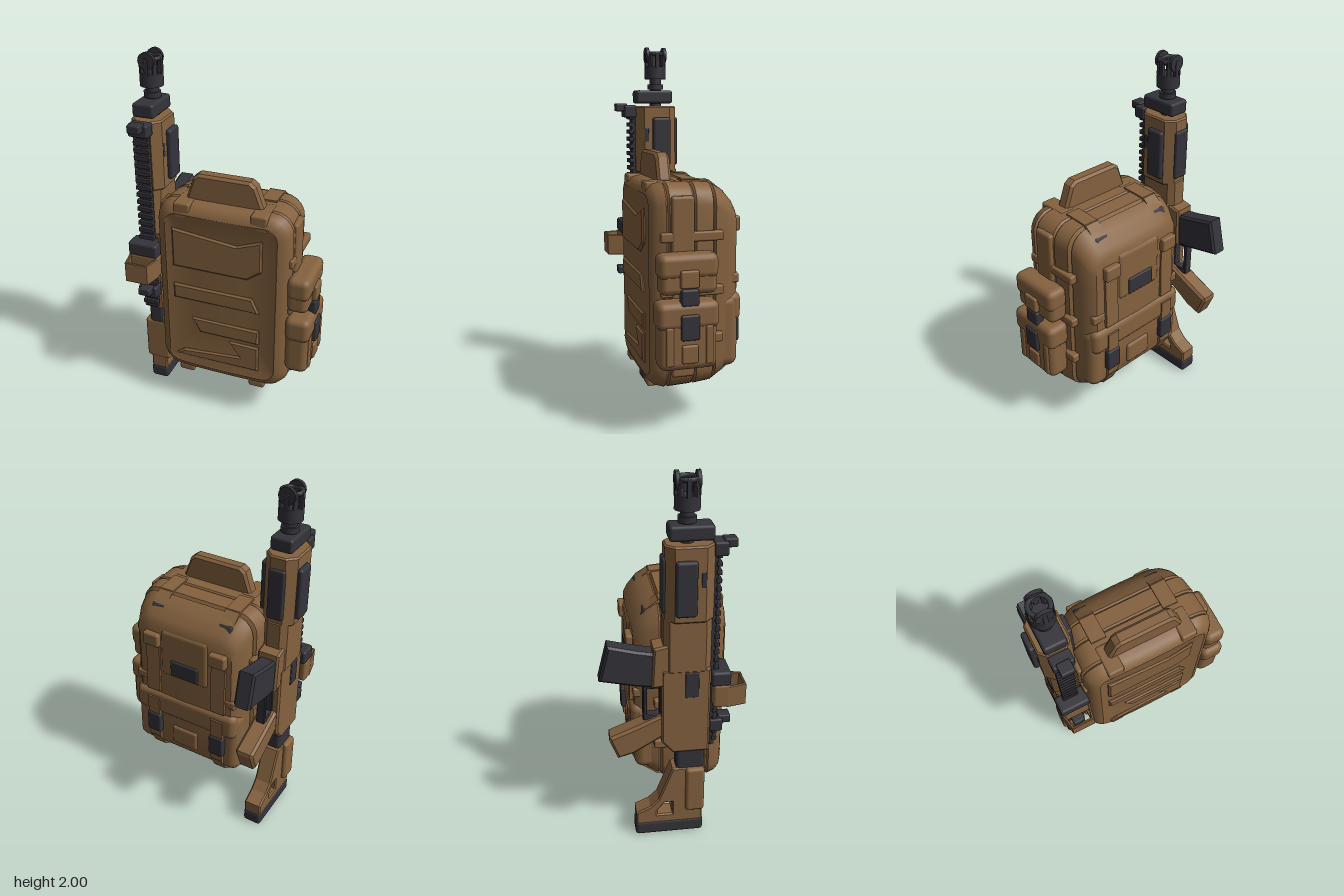
import * as THREE from 'three';
import { toCreasedNormals } from 'three/addons/utils/BufferGeometryUtils.js';
import { RoundedBoxGeometry } from 'three/addons/geometries/RoundedBoxGeometry.js';

const tan = new THREE.MeshStandardMaterial({ color: 0x85623f });
tan.name = 'coyote tan';
const dark = new THREE.MeshStandardMaterial({ color: 0x33333a });
dark.name = 'dark polymer';

function add(parent, name, geo, mat) {
  const m = new THREE.Mesh(geo, mat);
  m.name = name;
  parent.add(m);
  return m;
}

// Rounded box from its limits on each axis
function box(parent, name, mat, x0, x1, y0, y1, z0, z1, r = 0.01) {
  const w = x1 - x0, h = y1 - y0, d = z1 - z0;
  const geo = new RoundedBoxGeometry(w, h, d, 2, Math.min(r, w * 0.45, h * 0.45, d * 0.45));
  const m = add(parent, name, geo, mat);
  m.position.set((x0 + x1) / 2, (y0 + y1) / 2, (z0 + z1) / 2);
  return m;
}

function extrude(points, depth, bevel, hole) {
  const v = (p) => p.map(([a, b]) => new THREE.Vector2(a, b));
  const shape = new THREE.Shape(v(points));
  if (hole) shape.holes.push(new THREE.Path(v(hole)));
  const geo = new THREE.ExtrudeGeometry(shape, {
    depth: depth - 2 * bevel, bevelThickness: bevel, bevelSize: bevel,
    bevelOffset: -bevel, bevelSegments: 1,
  });
  return geo.translate(0, 0, bevel);
}

// Side profile in (z, y), spanning x0..x1
function sideProfile(parent, name, mat, points, x0, x1, bevel = 0.01, hole) {
  const geo = extrude(points, x1 - x0, bevel, hole).rotateY(-Math.PI / 2).translate(x1, 0, 0);
  return add(parent, name, geo, mat);
}

// Chamfered column standing on y0
function column(parent, name, mat, cx, cz, w, d, c, y0, y1) {
  const a = w / 2, b = d / 2;
  const pts = [[a, -b + c], [a, b - c], [a - c, b], [c - a, b], [-a, b - c], [-a, c - b], [c - a, -b], [a - c, -b]];
  const geo = extrude(pts, y1 - y0, 0.008).rotateX(-Math.PI / 2).translate(cx, y0, cz);
  return add(parent, name, geo, mat);
}

// Strap following (z, y) points
function strap(parent, name, mat, cx, width, thick, pts) {
  for (let i = 0; i + 1 < pts.length; i++) {
    const [z0, y0] = pts[i], [z1, y1] = pts[i + 1];
    const geo = new THREE.BoxGeometry(width, thick, Math.hypot(z1 - z0, y1 - y0) + thick * 0.6);
    const m = add(parent, name, geo, mat);
    m.position.set(cx, (y0 + y1) / 2, (z0 + z1) / 2);
    m.rotation.x = -Math.atan2(y1 - y0, z1 - z0);
  }
}

// Rounded-rectangle sections [z, width, height, radius, bulge], from back to front
function loft(layers, cx, cy) {
  const ring = (w, h, r) => {
    const out = [];
    const corners = [[1, -1], [1, 1], [-1, 1], [-1, -1]];
    corners.forEach(([sx, sy], k) => {
      for (let i = 0; i <= 5; i++) {
        const a = (k - 1 + i / 5) * Math.PI / 2;
        out.push([sx * (w / 2 - r) + r * Math.cos(a), sy * (h / 2 - r) + r * Math.sin(a)]);
      }
      const [nx, ny] = corners[(k + 1) % 4];
      const from = out[out.length - 1];
      const to = k % 2 ? [nx * (w / 2 - r), from[1]] : [from[0], ny * (h / 2 - r)];
      for (let i = 1; i < 6; i++) out.push([from[0] + (to[0] - from[0]) * i / 6, from[1] + (to[1] - from[1]) * i / 6]);
    });
    return out;
  };
  const pos = [], idx = [];
  let n = 0;
  for (const [z, w, h, r, bulge] of layers) {
    const pts = ring(w, h, r);
    n = pts.length;
    for (const [x, y] of pts) pos.push(cx + x, cy + y, z + bulge * (1 - (x / 0.37) ** 2));
  }
  for (let i = 0; i + 1 < layers.length; i++) for (let j = 0; j < n; j++) {
    const a = i * n + j, b = i * n + (j + 1) % n;
    idx.push(a, b, b + n, a, b + n, a + n);
  }
  const last = (layers.length - 1) * n, c = pos.length / 3;
  const end = layers[layers.length - 1];
  pos.push(cx, cy, layers[0][0] + layers[0][4], cx, cy, end[0] + end[4]);
  for (let j = 0; j < n; j++) {
    const k = (j + 1) % n;
    idx.push(c, k, j, c + 1, last + j, last + k);
  }
  const geo = new THREE.BufferGeometry();
  geo.setAttribute('position', new THREE.Float32BufferAttribute(pos, 3));
  geo.setIndex(idx);
  return toCreasedNormals(geo, 0.6);
}

function buildPack() {
  const g = new THREE.Group();
  g.name = 'backpack';
  const cx = 0.027;
  // Main shell and rear compartment
  add(g, 'packShell', loft([
    [-0.17, 0.3, 0.5, 0.06, -0.018], [-0.17, 0.58, 0.78, 0.08, -0.018], [-0.15, 0.63, 0.86, 0.1, -0.015],
    [-0.10, 0.67, 0.98, 0.11, -0.01], [-0.05, 0.69, 1.04, 0.11, 0], [-0.04, 0.67, 1.02, 0.1, 0],
    [-0.03, 0.71, 1.055, 0.11, 0], [0.06, 0.735, 1.065, 0.11, 0], [0.07, 0.715, 1.045, 0.1, 0],
    [0.08, 0.735, 1.065, 0.11, 0], [0.2, 0.745, 1.07, 0.11, 0], [0.21, 0.725, 1.05, 0.1, 0],
    [0.22, 0.745, 1.07, 0.11, 0], [0.26, 0.72, 1.05, 0.11, 0.006], [0.285, 0.67, 1.0, 0.09, 0.012],
    [0.293, 0.62, 0.95, 0.07, 0.012], [0.288, 0.6, 0.93, 0.06, 0.014], [0.288, 0.3, 0.5, 0.05, 0.014],
  ], cx, 0.757), tan);

  // Moulded pads on the front panel
  const pads = [
    [[-0.24, 0.92], [0.18, 0.92], [0.26, 0.98], [0.26, 1.16], [0.12, 1.11], [-0.24, 1.15]],
    [[-0.24, 0.72], [0.25, 0.72], [0.21, 0.81], [-0.24, 0.81]],
    [[-0.09, 0.52], [0.25, 0.52], [0.25, 0.61], [-0.14, 0.61]],
    [[-0.24, 0.34], [0.25, 0.34], [0.25, 0.5], [0.08, 0.5], [0.14, 0.41], [-0.19, 0.38]],
  ];
  for (const p of pads) add(g, 'frontPad', extrude(p, 0.03, 0.01).translate(0, 0, 0.282), tan);

  // Carry handle and its anchors
  add(g, 'carryHandle', extrude(
    [[-0.2, 1.26], [0.245, 1.26], [0.19, 1.41], [0.16, 1.432], [-0.12, 1.432], [-0.15, 1.41]], 0.075, 0.014,
    [[-0.15, 1.26], [-0.115, 1.375], [-0.1, 1.388], [0.14, 1.388], [0.155, 1.375], [0.195, 1.26]],
  ).translate(0, 0, 0.145), tan);
  for (const x of [-0.185, 0.235]) {
    box(g, 'handleAnchor', tan, x - 0.045, x + 0.045, 1.205, 1.295, 0.13, 0.298, 0.012);
    box(g, 'foot', tan, x - 0.045, x + 0.045, 0.218, 0.26, 0.1, 0.295, 0.012);
  }

  // Lid straps with buckles, and lower strap buckles
  for (const x of [-0.19, 0.225]) {
    strap(g, 'lidStrap', tan, x, 0.085, 0.018,
      [[0.1, 1.29], [-0.04, 1.283], [-0.1, 1.235], [-0.15, 1.15], [-0.182, 1.03], [-0.19, 0.72]]);
    const buckle = box(g, 'lidBuckle', dark, x - 0.042, x + 0.042, 1.15, 1.24, -0.14, -0.105, 0.01);
    buckle.rotation.x = 0.5;
    box(g, 'strapKeeper', tan, x - 0.05, x + 0.05, 1.02, 1.1, -0.215, -0.15, 0.012);
    strap(g, 'lowerStrap', tan, x, 0.075, 0.018, [[-0.2, 0.66], [-0.192, 0.38], [-0.15, 0.3], [-0.05, 0.228], [0.05, 0.222]]);
    box(g, 'lowerBuckle', dark, x - 0.045, x + 0.045, 0.42, 0.55, -0.215, -0.17);
  }

  // Rear flap, webbing, badge panel and pockets
  box(g, 'rearFlap', tan, -0.13, 0.175, 0.84, 1.14, -0.195, -0.1, 0.03);
  box(g, 'badgePanel', dark, -0.07, 0.105, 0.86, 0.96, -0.205, -0.15);
  box(g, 'rearWebbing', tan, -0.29, 0.345, 0.76, 0.81, -0.185, -0.08);
  box(g, 'rearPocket', tan, -0.31, 0.362, 0.31, 0.7, -0.182, -0.03, 0.05);
  box(g, 'rearRoll', tan, -0.3, 0.352, 0.55, 0.71, -0.2, -0.08, 0.04);
  box(g, 'centrePouch', tan, -0.06, 0.11, 0.37, 0.5, -0.2, -0.12, 0.02);

  // Side webbing
  for (const s of [-1, 1]) {
    const x = cx + s * 0.36;
    box(g, 'sidePanel', tan, x - 0.025, x + 0.025, 0.3, 1.23, 0.075, 0.195, 0.015);
    for (const y of [0.47, 0.72, 1.0]) box(g, 'sideBand', tan, x - 0.022, x + 0.022, y, y + 0.05, -0.08, 0.25);
  }
  return g;
}

function buildPouches() {
  const g = new THREE.Group();
  g.name = 'sidePouches';
  box(g, 'upperPouch', tan, 0.385, 0.5, 0.75, 0.95, -0.02, 0.275, 0.035);
  box(g, 'upperPouchLid', tan, 0.385, 0.508, 0.83, 0.957, -0.024, 0.283, 0.035);
  box(g, 'upperPouchTab', tan, 0.49, 0.525, 0.79, 0.88, 0.085, 0.18);
  box(g, 'upperPouchBuckle', dark, 0.47, 0.522, 0.7, 0.785, 0.085, 0.175);
  box(g, 'lowerPouch', tan, 0.385, 0.515, 0.37, 0.715, -0.015, 0.285, 0.04);
  box(g, 'lowerPouchLid', tan, 0.385, 0.522, 0.58, 0.72, -0.025, 0.295, 0.035);
  box(g, 'lowerPouchBuckle', dark, 0.5, 0.534, 0.53, 0.66, 0.085, 0.18);
  box(g, 'lowerPouchTab', tan, 0.5, 0.528, 0.41, 0.505, 0.09, 0.175);
  for (const z of [0.03, 0.235]) box(g, 'lowerPouchWebbing', tan, 0.5, 0.523, 0.4, 0.6, z - 0.02, z + 0.02);
  return g;
}

function buildRifle() {
  const g = new THREE.Group();
  g.name = 'rifle';
  const X = -0.43, Z = 0.065;
  // Barrel and slotted muzzle
  const rod = (name, r, y0, y1) =>
    add(g, name, new THREE.CylinderGeometry(r, r, y1 - y0, 20), dark).position.set(X, (y0 + y1) / 2, Z);
  rod('barrel', 0.034, 1.6, 1.85);
  rod('muzzleCollar', 0.045, 1.76, 1.79);
  rod('muzzleBase', 0.062, 1.82, 1.89);
  for (let i = 0; i < 8; i++) {
    const a = i * Math.PI / 4;
    const bar = box(g, 'muzzleBar', dark, -0.012, 0.012, 1.88, 1.97, -0.011, 0.011, 0.004);
    bar.position.x = X + Math.sin(a) * 0.051;
    bar.position.z = Z + Math.cos(a) * 0.051;
    bar.rotation.y = a;
  }
  add(g, 'muzzleRing', new THREE.TorusGeometry(0.05, 0.012, 8, 20).rotateX(Math.PI / 2), dark).position.set(X, 1.963, Z);
  for (const s of [-1, 1]) {
    const prong = add(g, 'muzzleProng', new THREE.CylinderGeometry(0.045, 0.045, 0.018, 16, 1, false, 0, Math.PI)
      .rotateZ(Math.PI / 2), dark);
    prong.position.set(X, 1.955, Z + s * 0.05);
    prong.geometry = new THREE.CylinderGeometry(0.045, 0.045, 0.018, 16).rotateX(Math.PI / 2);
  }
  box(g, 'gasBlock', dark, X - 0.06, X + 0.06, 1.68, 1.755, -0.025, 0.19, 0.015);

  // Handguard with grip panels
  column(g, 'handguard', tan, X, 0.075, 0.172, 0.24, 0.045, 1.28, 1.665);
  column(g, 'handguardRear', tan, X, 0.07, 0.132, 0.24, 0.03, 1.0, 1.3);
  for (const s of [-1, 1]) {
    box(g, 'sideGripPanel', dark, X + s * 0.095 - 0.018, X + s * 0.095 + 0.018, 1.32, 1.6, 0, 0.105, 0.015);
    box(g, 'handguardVent', dark, X + s * 0.083 - 0.005, X + s * 0.083 + 0.005, 1.46, 1.54, 0.125, 0.15, 0.004);
  }
  box(g, 'lowerGripPanel', dark, X - 0.045, X + 0.045, 1.32, 1.6, -0.058, -0.03, 0.012);

  // Top rail and iron sights
  box(g, 'topRail', dark, X - 0.036, X + 0.036, 0.55, 1.65, 0.18, 0.215, 0.005);
  for (let y = 0.58; y < 1.63; y += 0.042) box(g, 'railTooth', dark, X - 0.044, X + 0.044, y, y + 0.024, 0.205, 0.232, 0.004);
  for (const y of [0.64, 1.6]) {
    box(g, 'sightBase', dark, X - 0.055, X + 0.055, y, y + 0.07, 0.19, 0.26);
    box(g, 'sightPost', dark, X - 0.035, X + 0.035, y + 0.035, y + 0.08, 0.24, 0.305, 0.008);
  }

  // Reflex sight with open hood
  box(g, 'sightBody', dark, X - 0.085, X + 0.085, 0.92, 1.0, 0.19, 0.29, 0.015);
  box(g, 'sightMount', tan, X - 0.087, X + 0.087, 0.8, 0.93, 0.2, 0.288, 0.015);
  add(g, 'sightHood', extrude(
    [[-0.087, -0.27], [0.087, -0.27], [0.065, -0.372], [-0.065, -0.372]], 0.12, 0.004,
    [[-0.07, -0.286], [-0.052, -0.358], [0.052, -0.358], [0.07, -0.286]],
  ).rotateX(-Math.PI / 2).translate(X, 0.8, 0), tan);

  // Receiver, magazine, trigger guard and grip
  sideProfile(g, 'receiver', tan,
    [[0.19, 0.53], [0.19, 1.02], [-0.06, 1.02], [-0.06, 0.6], [0.0, 0.53]], X - 0.063, X + 0.063);
  sideProfile(g, 'magazineWell', tan, [[0, 0.93], [0, 1.16], [-0.1, 1.14], [-0.11, 0.92]], X - 0.06, X + 0.06);
  box(g, 'ejectionPort', dark, X - 0.068, X - 0.055, 0.86, 1.0, 0.06, 0.13, 0.005);
  sideProfile(g, 'magazine', dark,
    [[-0.05, 0.91], [-0.05, 1.1], [-0.18, 1.125], [-0.325, 1.162], [-0.372, 0.97], [-0.19, 0.93]], X - 0.047, X + 0.047, 0.012);
  sideProfile(g, 'triggerGuard', dark, [[-0.05, 0.7], [-0.05, 0.93], [-0.15, 0.93], [-0.15, 0.72]], X - 0.025, X + 0.025, 0.004,
    [[-0.065, 0.75], [-0.13, 0.75], [-0.13, 0.9], [-0.065, 0.9]]);
  sideProfile(g, 'pistolGrip', tan,
    [[-0.04, 0.63], [-0.04, 0.76], [-0.19, 0.695], [-0.325, 0.64], [-0.328, 0.62], [-0.285, 0.51], [-0.2, 0.535]], X - 0.052, X + 0.052, 0.014);

  // Skeleton stock
  box(g, 'stockNeck', dark, X - 0.045, X + 0.045, 0.4, 0.56, 0.02, 0.17, 0.02);
  sideProfile(g, 'stock', tan,
    [[0.165, 0.07], [0.165, 0.42], [0.0, 0.42], [-0.075, 0.225], [-0.12, 0.18], [-0.195, 0.145], [-0.195, 0.07]],
    X - 0.05, X + 0.05, 0.008, [[0.0, 0.125], [-0.08, 0.125], [-0.08, 0.15], [-0.04, 0.2], [0.0, 0.2]]);
  box(g, 'cheekPiece', tan, X - 0.074, X + 0.074, 0.15, 0.42, 0.07, 0.172, 0.018);
  box(g, 'buttPad', dark, X - 0.053, X + 0.053, 0, 0.082, -0.2, 0.17, 0.018);
  return g;
}

export function createModel() {
  const model = new THREE.Group();
  model.name = 'packWithRifle';
  model.add(buildPack(), buildPouches(), buildRifle());
  return model;
}
